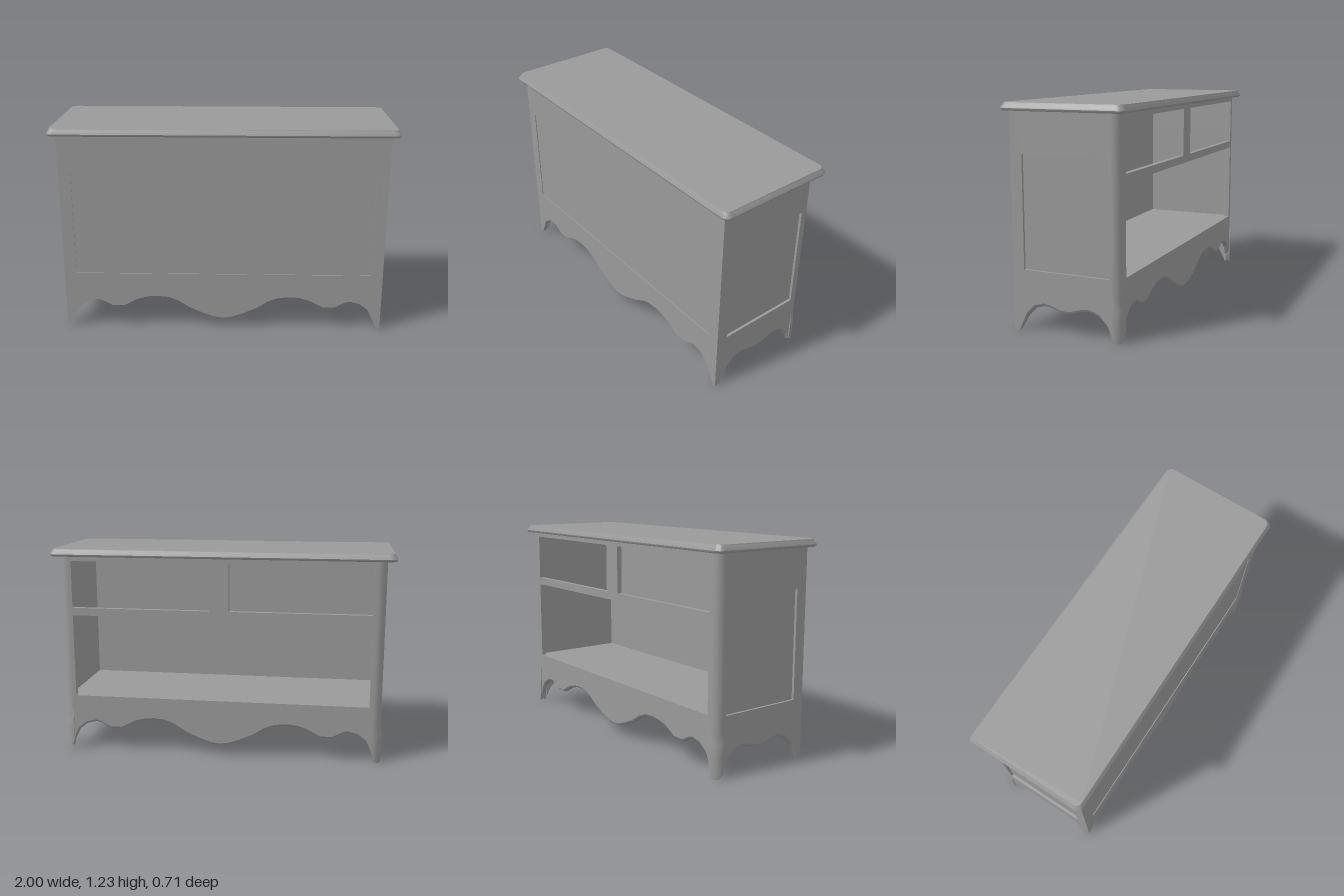
import * as THREE from 'three';
import { toCreasedNormals } from 'three/addons/utils/BufferGeometryUtils.js';

const T = 0.03;        // wall thickness
const HX = 0.95;       // half width of the carcass
const HZ = 0.317;      // half depth of the carcass
const R = 0.05;        // radius of the rounded rear corners
const TOP = 1.19;      // height of the walls

// Half outlines of the scalloped aprons, from the centre outwards
const LONG = [[0, 0.06], [0.05, 0.065], [0.12, 0.09], [0.2, 0.125], [0.27, 0.17], [0.33, 0.193],
  [0.4, 0.2], [0.46, 0.195], [0.52, 0.178], [0.6, 0.135], [0.67, 0.135], [0.73, 0.167],
  [0.76, 0.175], [0.82, 0.16], [0.87, 0.122]];
const SHORT = [[0, 0.118], [0.03, 0.121], [0.09, 0.14], [0.135, 0.147], [0.19, 0.13], [0.24, 0.08]];
const LONG_FOOT = [[0.895, 0.07], [0.93, 0], [HX, 0]];
const LONG_REAR = [[HX - R, 0.06]];
const SIDE_FRONT = [[HZ - T, 0]];
const SIDE_REAR = [[HZ - R, 0.03]];

const mirror = (pts) => pts.map(([x, y]) => [-x, y]).reverse();
const outline = (half, leftEnd, rightEnd) =>
  [...mirror([...half, ...leftEnd]), ...half.slice(1), ...rightEnd];

export function createModel() {
  const group = new THREE.Group();
  const material = new THREE.MeshStandardMaterial({ color: 0x999999, side: THREE.DoubleSide });

  const add = (name, geometry) => {
    const mesh = new THREE.Mesh(geometry, material);
    mesh.name = name;
    group.add(mesh);
    return mesh;
  };

  const slab = (name, w, h, d, x, y, z) =>
    add(name, new THREE.BoxGeometry(w, h, d)).position.set(x, y, z);

  // Upright wall with a scalloped lower edge; holes are [x0, y0, x1, y1]
  const wall = (name, apron, holes, ease) => {
    const shape = new THREE.Shape();
    shape.moveTo(apron[0][0], TOP);
    apron.forEach(([x, y]) => shape.lineTo(x, y));
    shape.lineTo(apron[apron.length - 1][0], TOP);
    shape.closePath();
    for (const [x0, y0, x1, y1] of holes) {
      const hole = new THREE.Path();
      hole.moveTo(x0, y0).lineTo(x1, y0).lineTo(x1, y1).lineTo(x0, y1).closePath();
      shape.holes.push(hole);
    }
    const geometry = new THREE.ExtrudeGeometry(shape, { depth: T, steps: ease ? 5 : 1, bevelEnabled: false });
    // Round the lower edge over towards the outer face
    const p = geometry.attributes.position;
    for (let i = 0; i < p.count; i++) {
      const y = p.getY(i), t = Math.min(1, p.getZ(i) / T);
      if (y > 0.04 && y < 0.25) p.setY(i, y + ease * (1 - Math.sqrt(1 - t * t)));
    }
    return add(name, toCreasedNormals(geometry, 0.45));
  };

  // Closed front wall with a barely sunk panel
  wall('frontWall', outline(LONG, LONG_FOOT, LONG_FOOT), [[-0.88, 0.345, 0.88, 0.965]], 0)
    .position.z = HZ - T;
  slab('frontPanel', 1.76, 0.62, 0.025, 0, 0.655, HZ - T + 0.0125);

  // Open rear wall: two drawer openings above one wide opening
  const rear = wall('rearFrame', outline(LONG, LONG_REAR, LONG_REAR), [
    [-0.88, 0.88, -0.057, 1.158],
    [0.057, 0.88, 0.88, 1.158],
    [-0.88, 0.34, 0.88, 0.835],
  ], 0.016);
  rear.rotation.y = Math.PI;
  rear.position.z = -(HZ - T);

  // Quarter-round rear corner post ending in a slightly thicker foot
  const cornerPost = () => {
    const shape = new THREE.Shape();
    shape.absarc(0, 0, R, 0, Math.PI / 2, false);
    shape.absarc(0, 0, R - T, Math.PI / 2, 0, true);
    shape.closePath();
    const geometry = new THREE.ExtrudeGeometry(shape,
      { depth: TOP, steps: 40, bevelEnabled: false, curveSegments: 10 });
    const p = geometry.attributes.position;
    for (let i = 0; i < p.count; i++) {
      const x = p.getX(i), y = p.getY(i), h = p.getZ(i);
      const a = Math.atan2(y, x) / (Math.PI / 2);
      const foot = Math.max(0, 0.03 - 0.1 * a, 0.06 - 0.2 * (1 - a));
      const flare = 0.006 * THREE.MathUtils.clamp((0.2 - h) / 0.05, 0, 1);
      const s = 1 + flare / Math.hypot(x, y);
      p.setXYZ(i, x * s, y * s, h + foot * (1 - h / TOP));
    }
    geometry.rotateX(-Math.PI / 2);
    return toCreasedNormals(geometry, 0.6);
  };

  for (const s of [1, -1]) {
    const label = s > 0 ? 'left' : 'right';
    // Side wall with a sunk panel
    const apron = outline(SHORT, SIDE_FRONT, SIDE_REAR);
    const side = wall(label + 'Side', s > 0 ? apron : mirror(apron), [[-0.25, 0.34, 0.25, 0.96]], 0.02);
    side.rotation.y = s * Math.PI / 2;
    side.position.x = s * (HX - T);
    slab(label + 'SidePanel', 0.015, 0.62, 0.5, s * (HX - T + 0.0075), 0.65, 0);

    const post = add(label + 'RearPost', cornerPost());
    post.position.set(s * (HX - R), 0, -(HZ - R));
    post.scale.x = s;
  }

  // Cabinet floor
  slab('floor', 2 * (HX - T), 0.03, 2 * (HZ - T), 0, 0.325, 0);

  // Overhanging top with a moulded edge: [height, inset] for each level
  const levels = [[1.187, 0.007], [1.193, 0.002], [1.2, 0], [1.207, 0.002], [1.222, 0.012], [1.23, 0.015]];
  const w = 1, d = 0.356, r = 0.035;
  const plan = new THREE.Shape();
  plan.absarc(w - r, d - r, r, 0, Math.PI / 2);
  plan.absarc(-w + r, d - r, r, Math.PI / 2, Math.PI);
  plan.absarc(-w + r, -d + r, r, Math.PI, 1.5 * Math.PI);
  plan.absarc(w - r, -d + r, r, 1.5 * Math.PI, 2 * Math.PI);
  const top = new THREE.ExtrudeGeometry(plan,
    { depth: 1, steps: levels.length - 1, bevelEnabled: false, curveSegments: 6 });
  const p = top.attributes.position;
  for (let i = 0; i < p.count; i++) {
    const [y, inset] = levels[Math.round(p.getZ(i) * (levels.length - 1))];
    p.setXYZ(i, p.getX(i) * (1 - inset / w), p.getY(i) * (1 - inset / d), y);
  }
  top.rotateX(-Math.PI / 2);
  add('top', toCreasedNormals(top, 0.5));

  return group;
}
